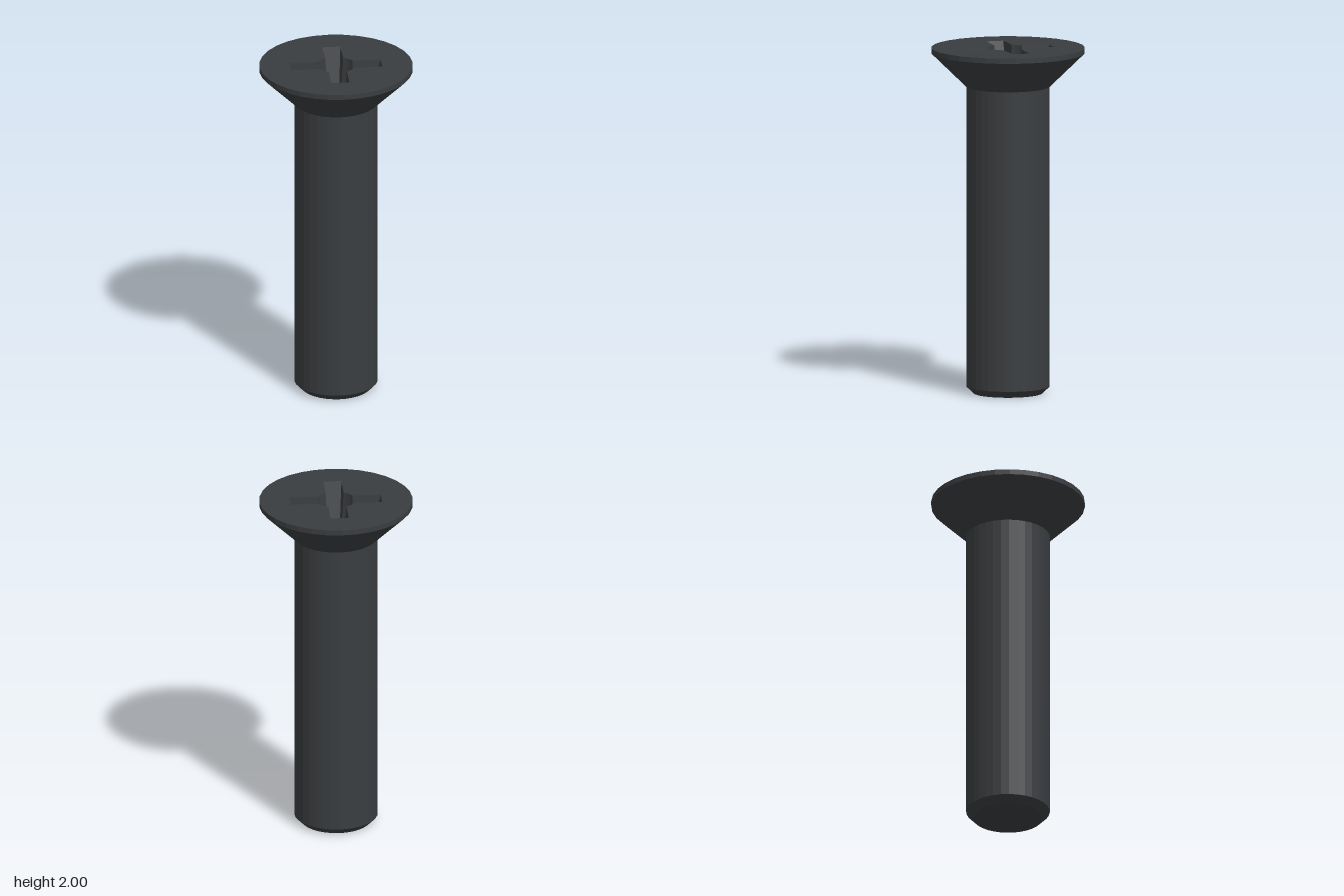
import * as THREE from 'three';

const SIDES = 32;
const TOP = 2, FLOOR = 1.7;

// Cross outline: four arms joined by arcs of a round hub, counter-clockwise
function crossOutline(halfWidth, reach, hub) {
  const points = [];
  const a = Math.asin(halfWidth / hub);
  const arcSteps = 5;
  for (let k = 0; k < 4; k++) {
    const arm = [
      new THREE.Vector2(reach, -halfWidth),
      new THREE.Vector2(reach, halfWidth),
    ];
    for (let i = 0; i <= arcSteps; i++) {
      const t = a + (Math.PI / 2 - 2 * a) * i / arcSteps;
      arm.push(new THREE.Vector2(hub * Math.cos(t), hub * Math.sin(t)));
    }
    for (const p of arm) points.push(p.rotateAround(new THREE.Vector2(), k * Math.PI / 2));
  }
  return points;
}

// Inward-facing walls between two outlines with matching points
function recessWalls(upper, lower) {
  const pos = [];
  const n = upper.length;
  for (let i = 0; i < n; i++) {
    const j = (i + 1) % n;
    const ti = [upper[i].x, TOP, -upper[i].y], tj = [upper[j].x, TOP, -upper[j].y];
    const bi = [lower[i].x, FLOOR, -lower[i].y], bj = [lower[j].x, FLOOR, -lower[j].y];
    pos.push(...ti, ...tj, ...bj, ...ti, ...bj, ...bi);
  }
  const g = new THREE.BufferGeometry();
  g.setAttribute('position', new THREE.Float32BufferAttribute(pos, 3));
  g.computeVertexNormals();
  return g;
}

export function createModel() {
  const screw = new THREE.Group();
  screw.name = 'countersunkScrew';
  const metal = new THREE.MeshStandardMaterial({ color: 0x3a3d40, flatShading: true });

  const add = (name, geometry) => {
    const mesh = new THREE.Mesh(geometry, metal);
    mesh.name = name;
    screw.add(mesh);
  };
  const lathe = (profile) =>
    new THREE.LatheGeometry(profile.map(([r, y]) => new THREE.Vector2(r, y)), SIDES);
  const flat = (shape, y) => new THREE.ShapeGeometry(shape, 8).rotateX(-Math.PI / 2).translate(0, y, 0);

  // Shank with chamfered tip, and countersunk head with a thin rim
  add('shank', lathe([[0, 0], [0.2, 0], [0.24, 0.04], [0.24, 1.775]]));
  add('head', lathe([[0.24, 1.775], [0.44, 1.97], [0.44, TOP]]));

  // Head face with the cross-shaped opening
  const upper = crossOutline(0.052, 0.262, 0.113);
  const lower = crossOutline(0.033, 0.168, 0.096);
  const disc = [];
  for (let i = 0; i < SIDES; i++) {
    const t = (i / SIDES) * Math.PI * 2;
    disc.push(new THREE.Vector2(0.44 * Math.cos(t), 0.44 * Math.sin(t)));
  }
  const face = new THREE.Shape(disc);
  face.holes.push(new THREE.Path(upper));
  add('headFace', flat(face, TOP));

  // Tapered drive recess
  add('recessWalls', recessWalls(upper, lower));
  const a = Math.asin(0.033 / 0.096);
  for (let k = 0; k < 4; k++) {
    const arm = new THREE.Shape();
    arm.moveTo(0.168, -0.033);
    arm.lineTo(0.168, 0.033);
    arm.lineTo(0.096 * Math.cos(a), 0.033);
    arm.absarc(0, 0, 0.096, a, -a, true);
    add('recessArmFloor', flat(arm, FLOOR).rotateY(k * Math.PI / 2));
  }
  add('recessCone', lathe([[0.0965, FLOOR], [0, FLOOR - 0.04]]));

  return screw;
}
